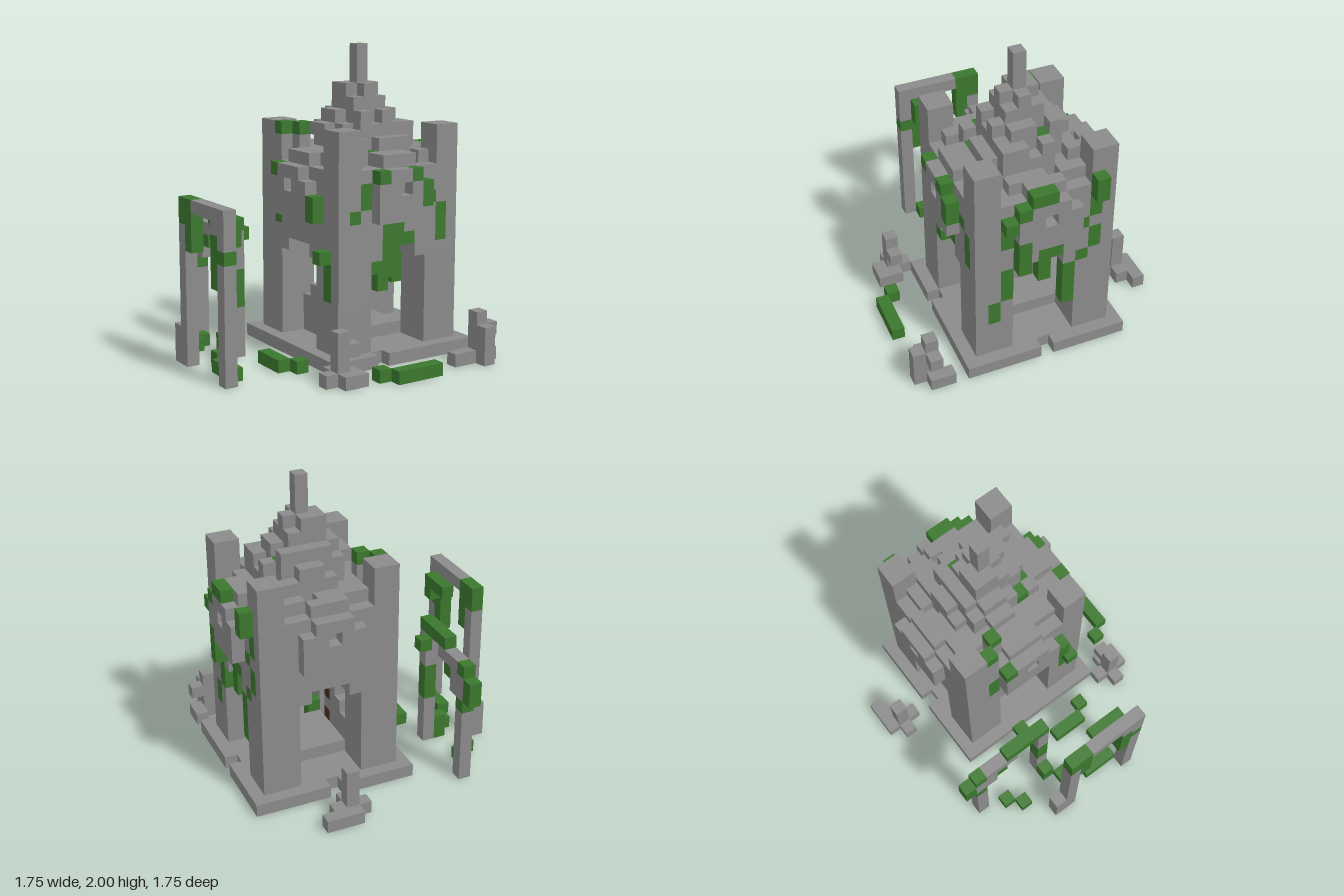
import * as THREE from 'three';
import { mergeGeometries } from 'three/addons/utils/BufferGeometryUtils.js';

const U = 2 / 24; // one block
const mats = {
  stone: new THREE.MeshStandardMaterial({ name: 'stone', color: 0x8b8b8b }),
  moss: new THREE.MeshStandardMaterial({ name: 'moss green', color: 0x3b772d }),
  wood: new THREE.MeshStandardMaterial({ name: 'dark wood', color: 0x4c2a20 }),
};

export function createModel() {
  const cells = new Map();
  const key = (x, y, z) => `${x},${y},${z}`;

  // Fill a block range (upper ends exclusive); later fills replace earlier ones
  function fill(part, color, x0, x1, y0, y1, z0, z1) {
    for (let x = x0; x < x1; x++)
      for (let y = y0; y < y1; y++)
        for (let z = z0; z < z1; z++) cells.set(key(x, y, z), { part, color, x, y, z });
  }
  const clear = (x, y, z) => cells.delete(key(x, y, z));
  const stone = (part, ...r) => fill(part, 'stone', ...r);
  const moss = (...r) => fill('vines', 'moss', ...r);
  // Upright strand of moss, one block wide
  const strand = (x, z, y0, y1 = y0 + 1) => moss(x, x + 1, y0, y1, z, z + 1);
  // Square layer centred on the tower axis
  const layer = (part, r, y0, y1) => stone(part, 14 - r, 15 + r, y0, y1, 10 - r, 11 + r);
  // Range given along a side (a) and outward from the axis (d), repeated on four sides
  function sides(part, a0, a1, y0, y1, d0, d1) {
    stone(part, 14 + a0, 14 + a1, y0, y1, 10 + d0, 10 + d1);
    stone(part, 14 + a0, 14 + a1, y0, y1, 11 - d1, 11 - d0);
    stone(part, 14 + d0, 14 + d1, y0, y1, 10 + a0, 10 + a1);
    stone(part, 15 - d1, 15 - d0, y0, y1, 10 + a0, 10 + a1);
  }

  // Base plate with chipped edges, and raised floor
  layer('base', 6, 0, 1);
  [[20, 10], [12, 16], [14, 4]].forEach(([x, z]) => clear(x, 0, z));
  layer('floor', 2, 1, 2);

  // Corner pillars, slimmer at the top
  for (const x of [9, 17]) for (const z of [5, 13]) {
    stone('pillar', x, x + 3, 1, 15, z, z + 3);
    const px = x === 9 ? 9 : 18, pz = z === 5 ? 5 : 14;
    stone('pillar', px, px + 2, 15, 18, pz, pz + 2);
  }

  // Arched walls, and raised panels with cut upper corners and a small opening
  sides('archWall', -2, 3, 9, 15, 4, 6);
  sides('archWall', -2, -1, 8, 9, 4, 6);
  sides('archWall', 2, 3, 8, 9, 4, 6);
  sides('panel', -2, 3, 11, 14, 6, 7);
  sides('panel', -1, 2, 14, 15, 6, 7);
  [[14, 16], [14, 4], [20, 10], [8, 10]].forEach(([x, z]) => clear(x, 13, z));
  sides('panelCap', -1, 2, 15, 16, 5, 6);

  // Stepped, broken roof and spire
  layer('roof', 4, 14, 16);
  layer('roof', 3, 16, 17);
  for (let z = 5; z < 16; z++) clear(11, 16, z);
  layer('roof', 2, 17, 19);
  stone('roof', 11, 12, 17, 18, 9, 11);
  stone('roof', 16, 18, 17, 18, 11, 13);
  stone('roof', 17, 18, 17, 18, 9, 10);
  stone('roof', 14, 16, 17, 18, 7, 8);
  stone('roof', 9, 10, 15, 17, 7, 8);
  stone('roof', 10, 11, 15, 17, 8, 9);
  [[10, 15, 7], [18, 15, 9], [18, 15, 13], [12, 15, 14], [16, 15, 14], [15, 15, 6],
    [17, 16, 13], [17, 16, 8], [13, 16, 13], [12, 16, 7], [16, 18, 12], [12, 18, 8],
    [12, 18, 12], [12, 17, 12], [12, 18, 11], [14, 18, 12], [16, 18, 9]].forEach((c) => clear(...c));
  layer('spire', 1, 19, 21);
  clear(13, 20, 11); clear(15, 20, 9); clear(15, 20, 11);
  stone('spire', 14, 15, 21, 24, 10, 11);

  // Broken wall with wooden remains in the left archway
  stone('brokenWall', 11, 12, 1, 6, 10, 12);
  stone('brokenWall', 11, 12, 1, 5, 9, 10);
  stone('brokenWall', 11, 12, 1, 4, 8, 9);
  for (const y of [2, 4]) fill('woodRemains', 'wood', 11, 12, y, y + 1, 11, 12);

  // Tall ruined arch
  stone('tallArch', 0, 1, 0, 13, 14, 15);
  stone('tallArch', 0, 1, 0, 13, 8, 9);
  stone('tallArch', 0, 1, 0, 3, 7, 8);
  stone('tallArch', 0, 1, 12, 13, 10, 14);
  stone('tallArch', 0, 1, 11, 12, 13, 14);
  strand(0, 8, 11, 13);
  strand(0, 9, 9, 13);
  strand(0, 13, 7, 11);
  strand(0, 14, 9);
  moss(1, 2, 11, 12, 11, 14);
  strand(1, 13, 10);

  // Low ruined arch
  stone('lowArch', 4, 5, 0, 10, 2, 3);
  stone('lowArch', 4, 5, 7, 9, 3, 4);
  stone('lowArch', 4, 5, 9, 10, 3, 6);
  stone('lowArch', 4, 5, 0, 10, 8, 9);
  moss(4, 5, 10, 11, 5, 9);
  strand(4, 2, 9);
  strand(4, 2, 6);
  strand(4, 1, 7, 9);
  strand(4, 4, 8);
  strand(4, 8, 4, 7);
  strand(5, 7, 9);

  // Rubble: front left corner, front right corner, back
  stone('rubble', 7, 8, 0, 4, 18, 19);
  stone('rubble', 6, 9, 0, 1, 18, 19);
  stone('rubble', 8, 9, 2, 3, 18, 19);
  stone('rubble', 7, 8, 0, 1, 17, 18);
  stone('rubble', 7, 9, 0, 1, 19, 20);
  stone('rubble', 17, 21, 0, 1, 19, 20);
  stone('rubble', 19, 20, 0, 4, 19, 20);
  stone('rubble', 19, 20, 0, 3, 20, 21);
  stone('rubble', 20, 21, 2, 3, 19, 20);
  stone('rubble', 20, 21, 0, 1, 18, 19);
  stone('rubble', 14, 17, 0, 1, 0, 1);
  stone('rubble', 13, 16, 0, 1, 1, 2);
  stone('rubble', 14, 15, 0, 4, 1, 2);
  stone('rubble', 14, 15, 0, 1, 2, 3);

  // Moss on the ground
  for (const x of [1, 5]) moss(x, x + 1, 0, 1, 11, 14);
  moss(11, 15, 0, 1, 20, 21);
  [[2, 5], [3, 4], [2, 9], [6, 14], [10, 19]].forEach(([x, z]) => strand(x, z, 0));
  strand(3, 8, 0, 2);
  strand(12, 13, 1, 3);

  // Vines on the front
  strand(10, 15, 11);
  strand(11, 15, 12, 14);
  for (const x of [12, 15]) strand(x, 16, 14);
  strand(16, 16, 12, 14);
  strand(17, 15, 12);
  strand(18, 15, 9, 12);
  moss(13, 15, 9, 11, 15, 16);
  strand(15, 15, 9);
  strand(14, 13, 5, 10);
  strand(15, 13, 6, 10);
  strand(12, 15, 7);

  // Vines on the right side: raised, then flush with the wall
  strand(20, 13, 13);
  strand(20, 12, 9, 12);
  strand(20, 12, 14);
  moss(20, 21, 15, 16, 10, 12);
  strand(20, 6, 14, 16);
  strand(19, 13, 11, 14);
  strand(19, 6, 12, 14);
  strand(19, 7, 11);
  strand(19, 14, 4, 6);
  strand(19, 13, 6, 9);
  strand(19, 10, 7, 11);
  strand(19, 9, 9);
  strand(19, 6, 9, 11);
  strand(19, 7, 8);
  strand(19, 8, 4, 8);

  // Vines on the left side and the roof
  strand(8, 13, 11, 13);
  strand(8, 14, 8);
  strand(8, 8, 14);
  strand(9, 7, 10, 13);
  strand(9, 14, 5, 8);
  strand(9, 7, 17);
  strand(10, 8, 17);
  strand(16, 9, 17);
  strand(12, 12, 16);
  strand(13, 13, 15);

  // One quad for each face direction
  const faces = [[1, 0, 0], [-1, 0, 0], [0, 1, 0], [0, -1, 0], [0, 0, 1], [0, 0, -1]].map((d) => {
    const n = new THREE.Vector3(...d);
    const q = new THREE.Quaternion().setFromUnitVectors(new THREE.Vector3(0, 0, 1), n);
    if (d[2] === -1) q.setFromAxisAngle(new THREE.Vector3(0, 1, 0), Math.PI);
    const g = new THREE.PlaneGeometry(U, U).applyQuaternion(q);
    return { d, g: g.translate(d[0] * U / 2, d[1] * U / 2, d[2] * U / 2) };
  });

  // Collect the exposed faces of each part into one mesh
  const parts = new Map();
  for (const { part, color, x, y, z } of cells.values()) {
    const id = `${part}|${color}`;
    if (!parts.has(id)) parts.set(id, []);
    for (const { d, g } of faces) {
      if (cells.has(key(x + d[0], y + d[1], z + d[2]))) continue;
      parts.get(id).push(g.clone().translate((x - 10) * U, (y + 0.5) * U, (z - 10) * U));
    }
  }
  const group = new THREE.Group();
  group.name = 'ruinedTower';
  for (const [id, list] of parts) {
    const [part, color] = id.split('|');
    const mesh = new THREE.Mesh(mergeGeometries(list), mats[color]);
    mesh.name = part;
    group.add(mesh);
  }
  return group;
}
